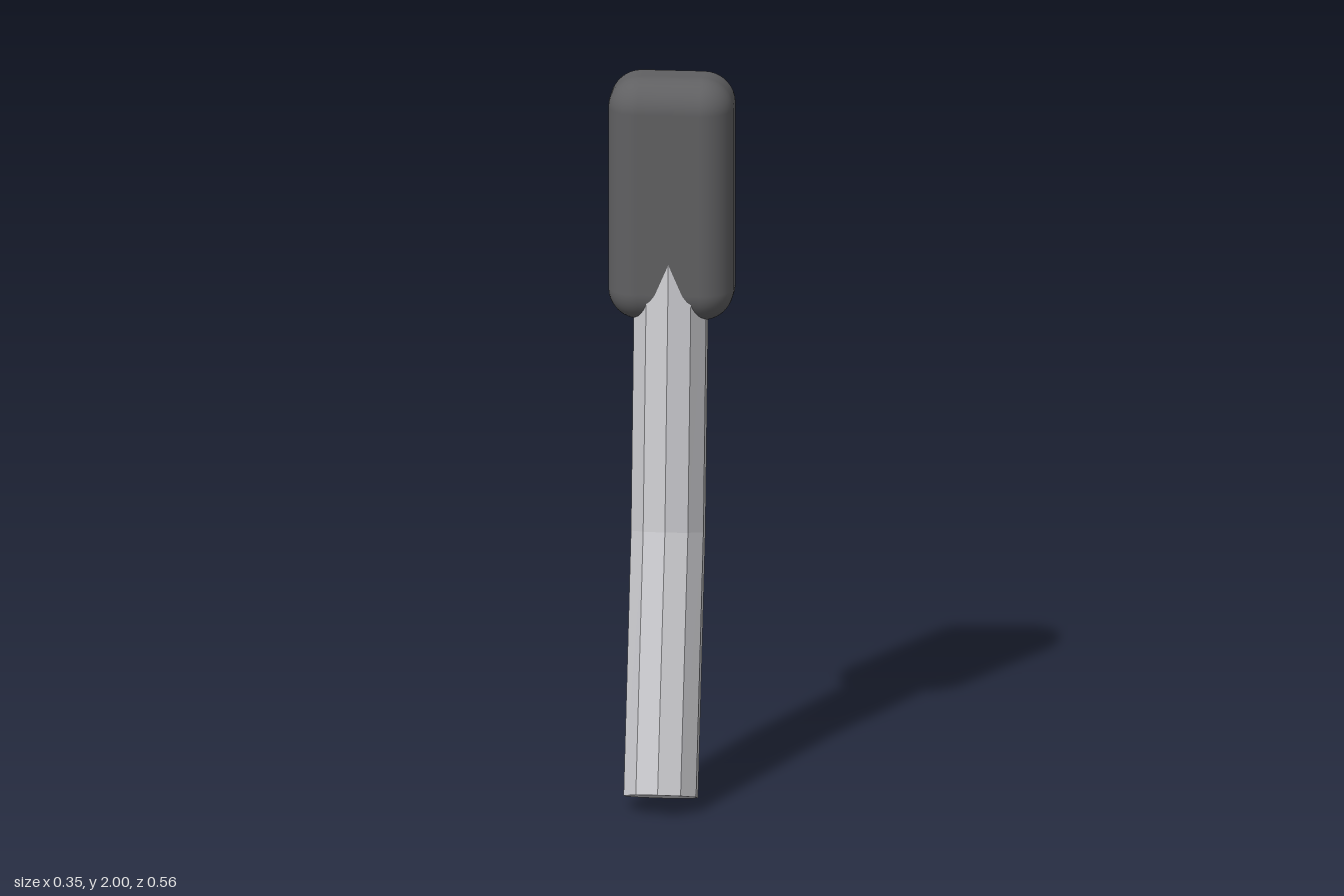
import * as THREE from 'three';
import { RoundedBoxGeometry } from 'three/addons/geometries/RoundedBoxGeometry.js';

export function createModel() {
  const group = new THREE.Group();
  const darkGrey = new THREE.MeshStandardMaterial({ color: 0x606062 });
  darkGrey.name = 'darkGrey';
  const lightGrey = new THREE.MeshStandardMaterial({ color: 0xcacace, flatShading: true });
  lightGrey.name = 'lightGrey';

  // Bent ten-sided shaft: each ring of a cylinder is moved and tilted
  const rings = [
    { y: 0.033, z: 0.18, tilt: 0.318 },
    { y: 0.728, z: -0.048, tilt: 0.23 },
    { y: 1.5, z: -0.158, tilt: 0.142 },
  ];
  const shaftGeometry = new THREE.CylinderGeometry(0.105, 0.105, 2, 10, 2);
  const position = shaftGeometry.attributes.position;
  for (let i = 0; i < position.count; i++) {
    const { y, z, tilt } = rings[Math.round(position.getY(i)) + 1];
    const depth = position.getZ(i);
    position.setY(i, y + depth * Math.sin(tilt));
    position.setZ(i, z + depth * Math.cos(tilt));
  }
  shaftGeometry.computeVertexNormals();
  const shaft = new THREE.Mesh(shaftGeometry, lightGrey);
  shaft.name = 'shaft';
  group.add(shaft);

  // Rounded block at the top of the shaft
  const head = new THREE.Mesh(new RoundedBoxGeometry(0.346, 0.69, 0.23, 5, 0.088), darkGrey);
  head.name = 'head';
  head.position.set(0, 1.655, -0.165);
  group.add(head);

  return group;
}
